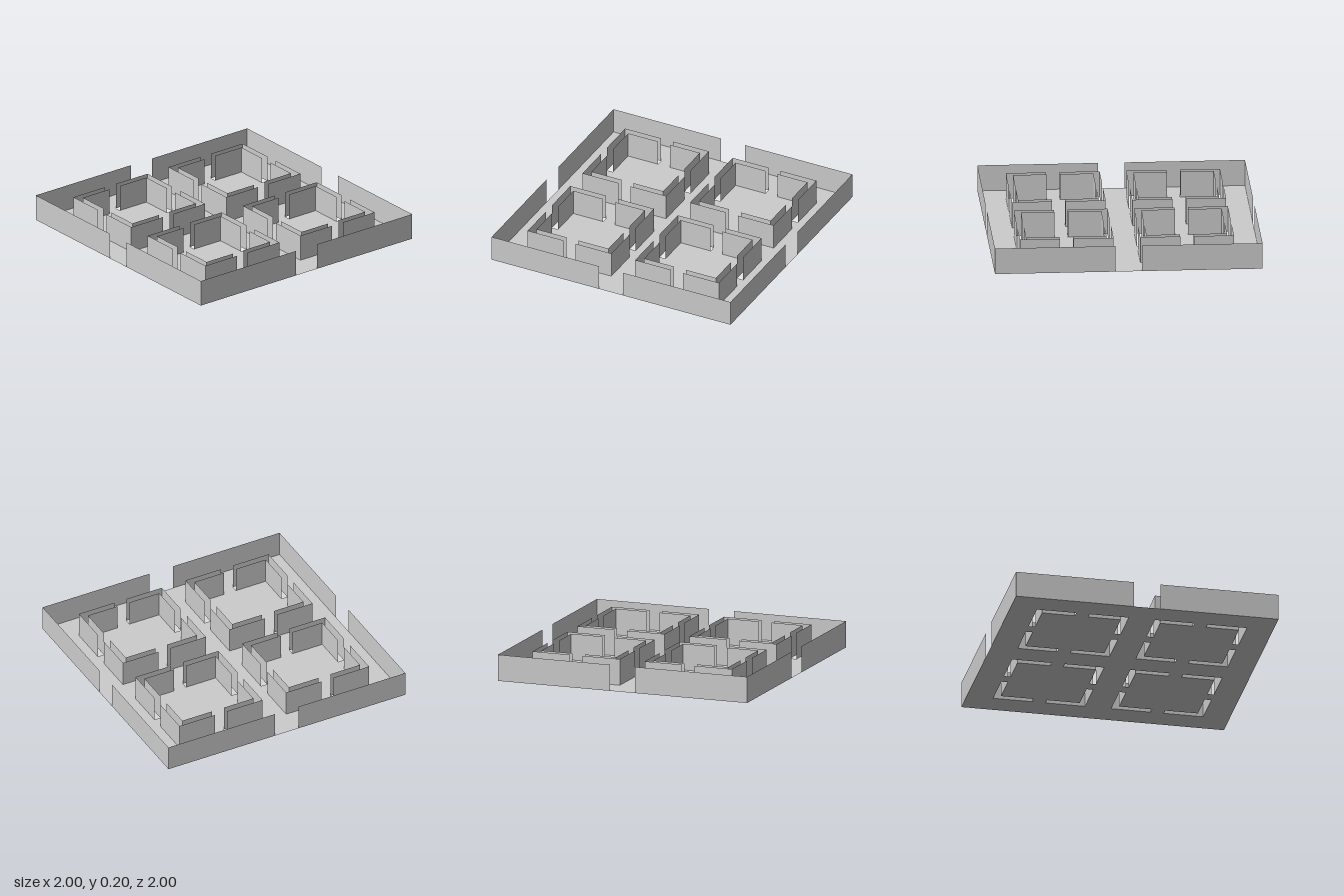
import * as THREE from 'three';
import { mergeGeometries } from 'three/addons/utils/BufferGeometryUtils.js';

const HEIGHT = 0.2;
const ROOM = 0.45;   // room centre offset
const OUTER = 0.35;  // half width of a room, outer wall face
const INNER = 0.3;   // half width of a room, inner wall face
const DOOR = 0.05;   // half width of a room doorway
const GATE = 0.1;    // half width of a gate in the boundary

// Upright sheets following a ground path of [x, z] points
function wallSheets(path) {
  const sheets = [];
  for (let i = 0; i < path.length - 1; i++) {
    const [x0, z0] = path[i], [x1, z1] = path[i + 1];
    const sheet = new THREE.PlaneGeometry(Math.hypot(x1 - x0, z1 - z0), HEIGHT);
    sheet.rotateY(-Math.atan2(z1 - z0, x1 - x0));
    sheet.translate((x0 + x1) / 2, HEIGHT / 2, (z0 + z1) / 2);
    sheets.push(sheet);
  }
  return mergeGeometries(sheets);
}

export function createModel() {
  const model = new THREE.Group();
  model.name = 'walledCompound';
  const stone = new THREE.MeshStandardMaterial({ color: 0xcccccc, side: THREE.DoubleSide });
  stone.name = 'paleGrey';

  const add = (parent, name, geometry) => {
    const mesh = new THREE.Mesh(geometry, stone);
    mesh.name = name;
    parent.add(mesh);
    return mesh;
  };

  const signs = [-1, 1];
  const corners = signs.flatMap((sx) => signs.map((sz) => [sx, sz]));

  // Corner faces of one room wall, from doorway to doorway
  const cornerPath = (half, sx, sz) => [[sx * DOOR, sz * half], [sx * half, sz * half], [sx * half, sz * DOOR]];

  // Floor, open beneath the hollow room walls
  const floor = new THREE.Shape([[-1, -1], [1, -1], [1, 1], [-1, 1]].map(([x, z]) => new THREE.Vector2(x, z)));

  for (const [rx, rz] of corners) {
    const room = new THREE.Group();
    room.name = 'room';
    room.position.set(rx * ROOM, 0, rz * ROOM);
    model.add(room);

    for (const [sx, sz] of corners) {
      const outer = cornerPath(OUTER, sx, sz);
      const inner = cornerPath(INNER, sx, sz);
      add(room, 'outerWallFace', wallSheets(outer));
      add(room, 'innerWallFace', wallSheets(inner));

      const slot = [...outer, ...inner.reverse()];
      // The plan is laid flat with y turning into -z
      floor.holes.push(new THREE.Path(slot.map(([x, z]) => new THREE.Vector2(x + rx * ROOM, -(z + rz * ROOM)))));
    }
  }
  add(model, 'floor', new THREE.ShapeGeometry(floor).rotateX(-Math.PI / 2));

  // Boundary wall corners, leaving a gate in the middle of every side
  for (const [sx, sz] of corners) {
    add(model, 'boundaryWall', wallSheets([[sx * GATE, sz], [sx, sz], [sx, sz * GATE]]));
  }
  return model;
}
